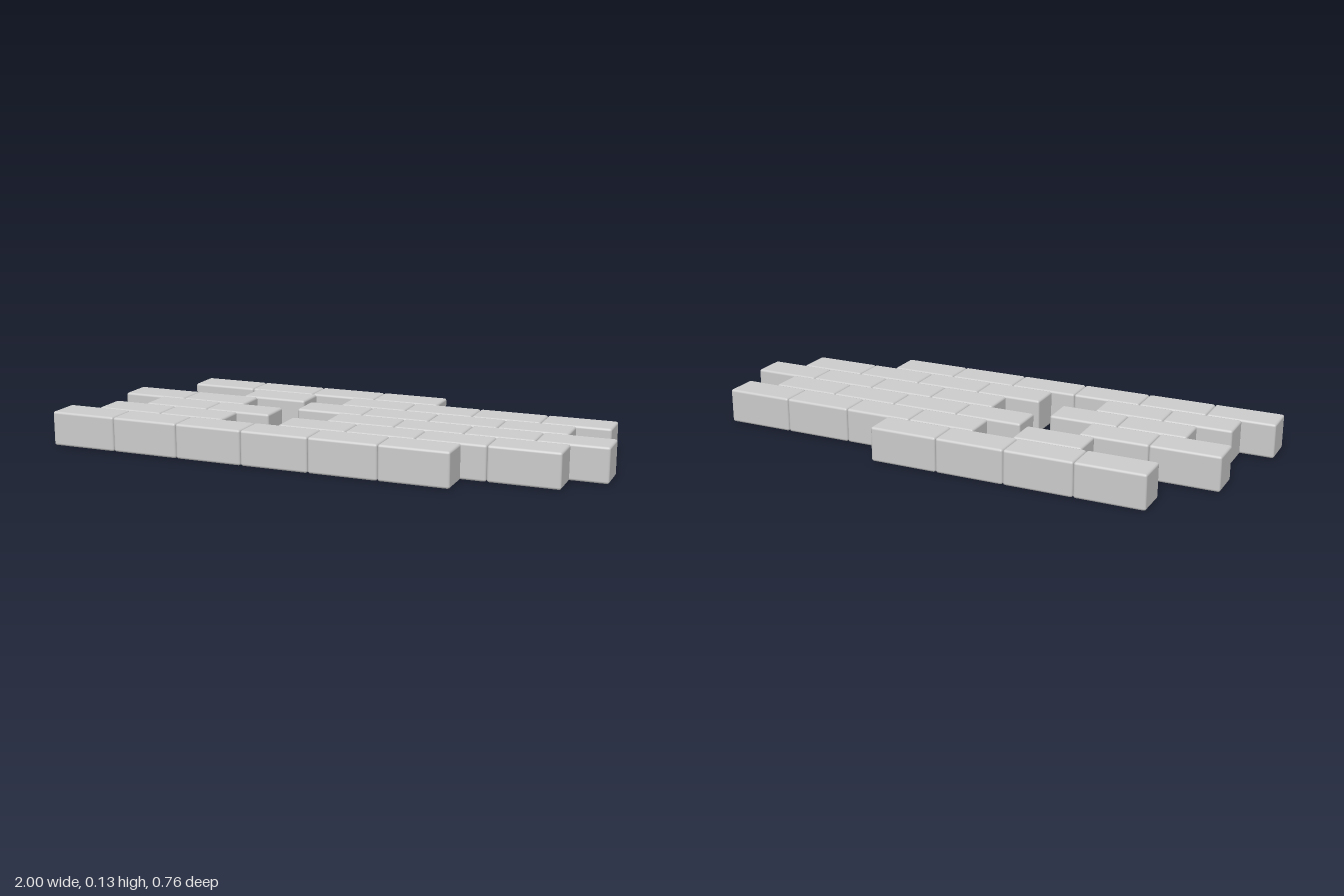
import * as THREE from 'three';
import { RoundedBoxGeometry } from 'three/addons/geometries/RoundedBoxGeometry.js';

const LENGTH = 0.2543; // brick pitch along x
const DEPTH = 0.1263; // course pitch along z
const HEIGHT = 0.128;

// Courses from back to front, each a list of runs: [left end x, brick count]
const COURSES = [
  [[-0.745, 4]],
  [[-0.469, 1], [-0.064, 4]],
  [[-0.916, 2], [-0.187, 4]],
  [[-0.754, 2], [-0.018, 4]],
  [[-0.879, 2], [-0.15, 4]],
  [[-1, 6]],
];

export function createModel() {
  const model = new THREE.Group();
  model.name = 'brickPatch';
  const material = new THREE.MeshStandardMaterial({ color: 0xcccccc });
  const brickShape = new RoundedBoxGeometry(LENGTH - 0.001, HEIGHT, DEPTH - 0.001, 2, 0.009);

  COURSES.forEach((runs, row) => {
    const course = new THREE.Group();
    course.name = `course${row + 1}`;
    course.position.z = (row - (COURSES.length - 1) / 2) * DEPTH;
    for (const [start, count] of runs) {
      for (let i = 0; i < count; i++) {
        const brick = new THREE.Mesh(brickShape, material);
        brick.name = 'brick';
        brick.position.set(start + (i + 0.5) * LENGTH, HEIGHT / 2, 0);
        course.add(brick);
      }
    }
    model.add(course);
  });
  return model;
}
